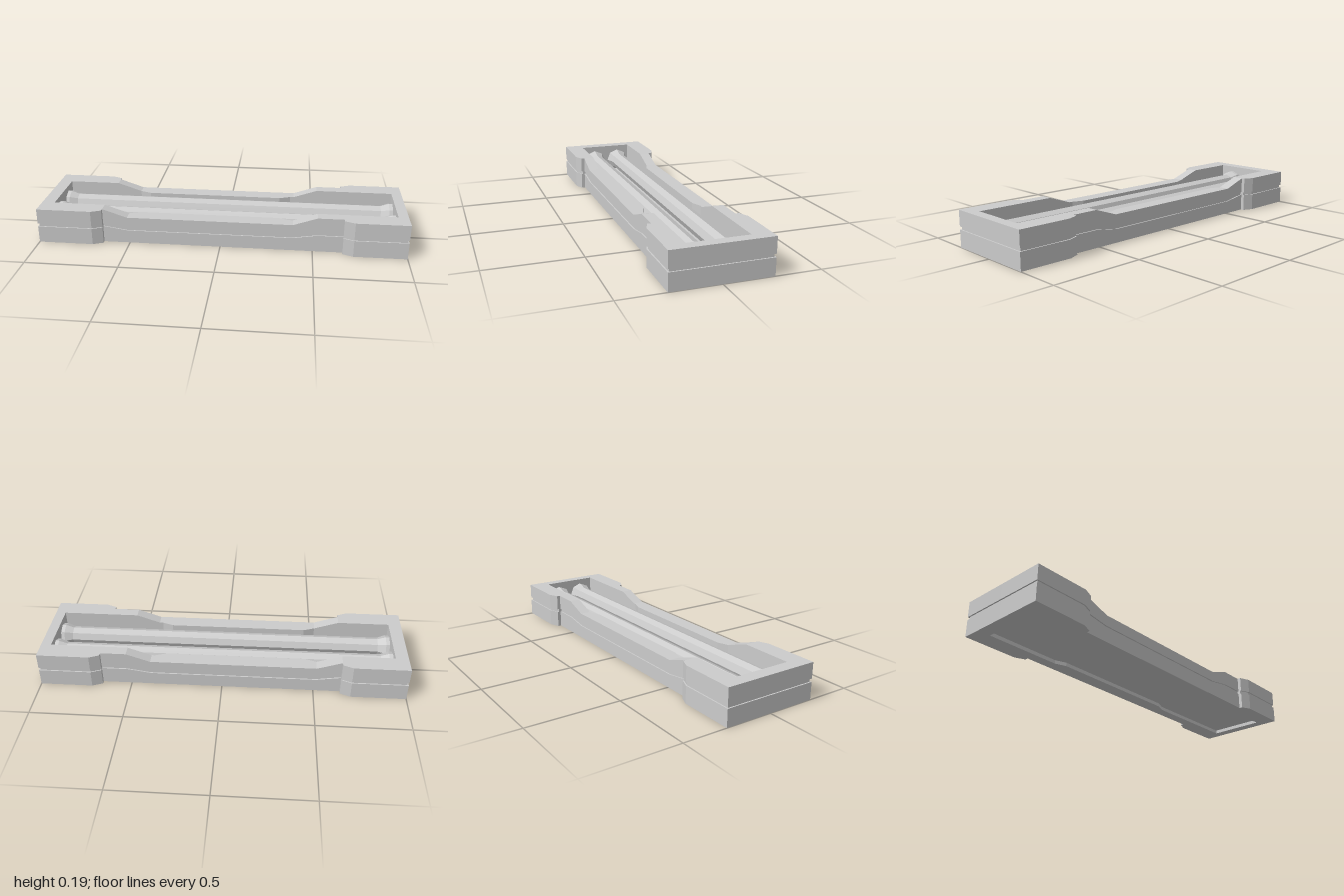
import * as THREE from 'three';

const material = new THREE.MeshStandardMaterial({ color: 0xcccccc, flatShading: true });

// Stations along a side rail: x, outer z, inner z, top height
const STATIONS = [
  [-1, 0.26, 0, 0.195], [-0.93, 0.26, 0, 0.195], [-0.93, 0.26, 0.158, 0.195],
  [-0.7, 0.26, 0.158, 0.195], [-0.645, 0.237, 0.158, 0.195], [-0.645, 0.218, 0.158, 0.195],
  [-0.51, 0.218, 0.158, 0.15], [-0.45, 0.218, 0.136, 0.15], [0.31, 0.218, 0.136, 0.15],
  [0.37, 0.218, 0.158, 0.15], [0.39, 0.218, 0.158, 0.15], [0.52, 0.218, 0.158, 0.195],
  [0.66, 0.218, 0.158, 0.195], [0.66, 0.237, 0.158, 0.195], [0.715, 0.26, 0.158, 0.195],
  [0.945, 0.26, 0.158, 0.195], [0.945, 0.26, 0, 0.195], [1, 0.26, 0, 0.195],
];

// Cross-section ring: outer wall going up (with groove), inner wall going down
function railRing([x, outer, inner, top], side) {
  const drop = (0.195 - top) * 0.45;
  const low = 0.093 - drop, high = 0.11 - drop;
  const heights = [0, low, low, high, high, top];
  const inset = [0, 0, 0.007, 0.007, 0, 0];
  const point = (j, z) => new THREE.Vector3(
    Math.abs(x) === 1 ? x - Math.sign(x) * inset[j] : x, heights[j], side * z);
  const ring = [];
  for (let j = 0; j < 6; j++) ring.push(point(j, outer - inset[j]));
  for (let j = 5; j >= 0; j--) ring.push(point(j, inner));
  return ring;
}

// Half of the frame: one long rail plus half of each end block
function railGeometry(side) {
  const rings = STATIONS.map((s) => railRing(s, side));
  const positions = [];
  const tri = (a, b, c) => {
    const area = b.clone().sub(a).cross(c.clone().sub(a)).length();
    const onSeam = [a, b, c].every((p) => Math.abs(p.z) < 1e-6);
    if (area < 1e-8 || onSeam) return;
    for (const p of side > 0 ? [a, b, c] : [a, c, b]) positions.push(p.x, p.y, p.z);
  };
  const quad = (a, b, c, d) => { tri(a, b, c); tri(a, c, d); };

  for (let i = 0; i < rings.length - 1; i++) {
    for (let k = 0; k < 12; k++) {
      const n = (k + 1) % 12;
      quad(rings[i][k], rings[i + 1][k], rings[i + 1][n], rings[i][n]);
    }
  }
  // End faces, following the groove
  const first = rings[0], last = rings[rings.length - 1];
  for (let j = 0; j < 5; j++) {
    quad(first[11 - j], first[j], first[j + 1], first[10 - j]);
    quad(last[j], last[11 - j], last[10 - j], last[j + 1]);
  }
  const geometry = new THREE.BufferGeometry();
  geometry.setAttribute('position', new THREE.Float32BufferAttribute(positions, 3));
  geometry.computeVertexNormals();
  return geometry;
}

// Eight-sided tube with flared collars at both ends
function tubeGeometry() {
  const profile = [
    [0, -0.93], [0.066, -0.93], [0.066, -0.91], [0.05, -0.865],
    [0.05, 0.88], [0.066, 0.925], [0.066, 0.945], [0, 0.945],
  ].map(([r, y]) => new THREE.Vector2(r, y));
  return new THREE.LatheGeometry(profile, 8).rotateZ(-Math.PI / 2);
}

export function createModel() {
  const model = new THREE.Group();
  const add = (name, geometry, x = 0, y = 0, z = 0) => {
    const mesh = new THREE.Mesh(geometry, material);
    mesh.name = name;
    mesh.position.set(x, y, z);
    model.add(mesh);
  };

  add('frameFront', railGeometry(1));
  add('frameBack', railGeometry(-1));

  // Recessed floor panel inside the frame
  add('floorPanel', new THREE.BoxGeometry(1.875, 0.012, 0.316), 0.0075, 0.026, 0);

  // Pair of long tubes lying in the tray
  const tube = tubeGeometry();
  add('backTube', tube, 0, 0.1, -0.081);
  add('frontTube', tube, 0, 0.1, 0.075);

  return model;
}
